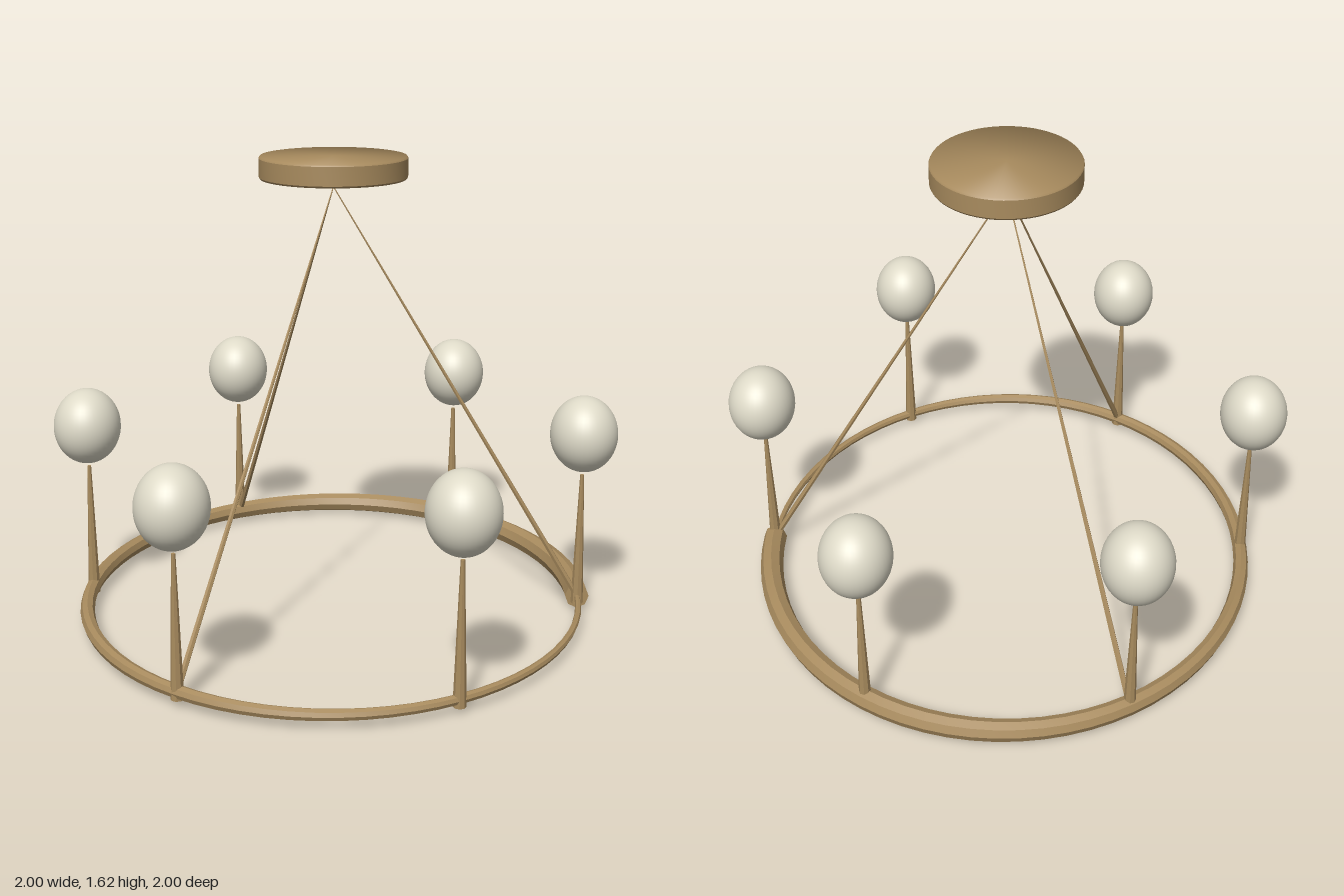
import * as THREE from 'three';
import { toCreasedNormals } from 'three/addons/utils/BufferGeometryUtils.js';

const RX = 0.88, RZ = 0.973, CZ = 0.008, RING_Y = 0.055;
const brass = new THREE.MeshStandardMaterial({ color: 0xa88b5e });
brass.name = 'brass';
const glass = new THREE.MeshStandardMaterial({ color: 0xdedac8 });
glass.name = 'opal glass';

// Point on the oval, running from the left side round the back
const onOval = (t, y) => new THREE.Vector3(RX * Math.cos(t), y, CZ - RZ * Math.sin(t));

// Capped octagonal tube that thins steadily over one full turn
function taperedRing(segments, sides, thick, thin) {
  const pos = [], idx = [];
  for (let i = 0; i <= segments; i++) {
    const f = i / segments, t = f * Math.PI * 2, r = thick + (thin - thick) * f;
    for (let j = 0; j < sides; j++) {
      const u = (j / sides) * Math.PI * 2, out = r * Math.cos(u);
      pos.push((RX + 0.92 * out) * Math.cos(t), RING_Y + r * Math.sin(u), CZ - (RZ + out) * Math.sin(t));
    }
  }
  for (let i = 0; i < segments; i++) {
    for (let j = 0; j < sides; j++) {
      const k = (j + 1) % sides;
      const a = i * sides + j, b = a + sides, c = i * sides + k, d = c + sides;
      idx.push(a, b, c, b, d, c);
    }
  }
  const last = segments * sides;
  for (let j = 1; j < sides - 1; j++) {
    idx.push(0, j, j + 1);
    idx.push(last, last + j + 1, last + j);
  }
  const g = new THREE.BufferGeometry();
  g.setAttribute('position', new THREE.Float32BufferAttribute(pos, 3));
  g.setIndex(idx);
  return toCreasedNormals(g, 0.5);
}

// Tapered rod between two points
function rod(from, to, r0, r1, sides) {
  const dir = to.clone().sub(from);
  const g = new THREE.CylinderGeometry(r1, r0, dir.length(), sides);
  const m = new THREE.Mesh(toCreasedNormals(g, 0.5), brass);
  m.position.copy(from).add(to).multiplyScalar(0.5);
  m.quaternion.setFromUnitVectors(new THREE.Vector3(0, 1, 0), dir.normalize());
  return m;
}

export function createModel() {
  const model = new THREE.Group();
  model.name = 'chandelier';
  const add = (mesh, name) => { mesh.name = name; model.add(mesh); return mesh; };

  add(new THREE.Mesh(taperedRing(72, 8, 0.046, 0.011), brass), 'ring');

  // Six stems, each with a globe floating just above its tip
  const globe = new THREE.SphereGeometry(1, 40, 28);
  for (let i = 0; i < 6; i++) {
    const t = (i * Math.PI) / 3;
    add(rod(onOval(t, 0.03), onOval(t, 0.515), 0.022, 0.007, 8), 'stem' + (i + 1));
    const bulb = add(new THREE.Mesh(globe, glass), 'globe' + (i + 1));
    bulb.scale.set(0.118, 0.135, 0.13);
    bulb.position.copy(onOval(t, 0.665));
  }

  // Three hanging cables meeting below the canopy
  for (let i = 0; i < 3; i++) {
    const foot = onOval((i * Math.PI * 2) / 3, RING_Y);
    add(rod(foot, new THREE.Vector3(0, 1.525, CZ), 0.011, 0.002, 6), 'cable' + (i + 1));
  }

  // Oval canopy with softened rims
  const profile = [[0, 0], [0.985, 0], [1, 0.006], [1, 0.069], [0.985, 0.075], [0, 0.075]]
    .map(([x, y]) => new THREE.Vector2(x, y));
  const canopy = add(new THREE.Mesh(toCreasedNormals(new THREE.LatheGeometry(profile, 56), 0.5), brass), 'canopy');
  canopy.scale.set(0.253, 1, 0.28);
  canopy.position.set(0, 1.555, CZ);
  return model;
}
